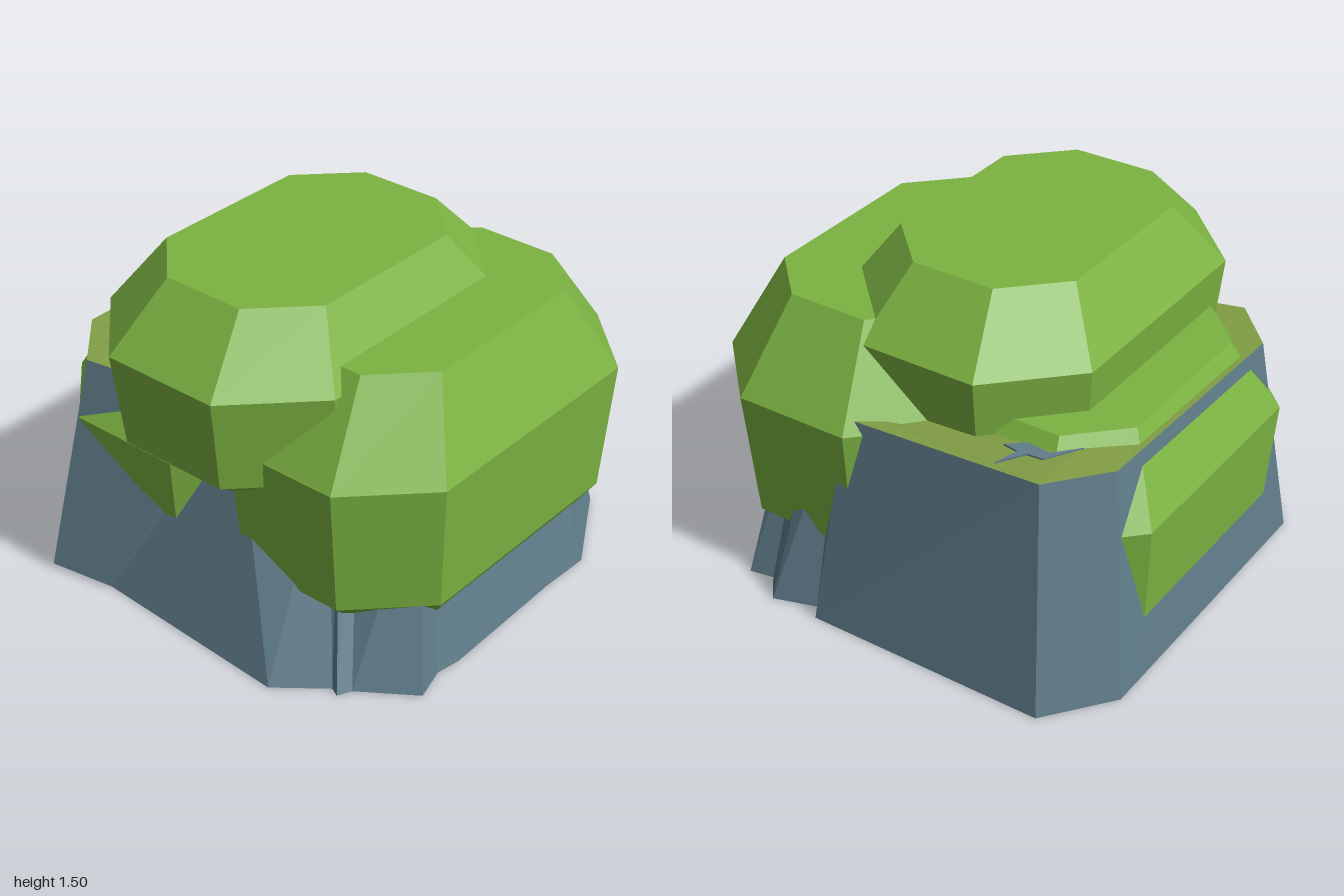
import * as THREE from 'three';

const flat = (name, color, flatShading = true) => {
  const m = new THREE.MeshStandardMaterial({ color, flatShading });
  m.name = name;
  return m;
};

// Solid between two matching outlines; group 0 = sides and underside, group 1 = top
function loft(rings) {
  const n = rings[0].length, pos = [];
  const tri = (a, b, c) => pos.push(...a, ...b, ...c);
  const cap = (ring, up) => {
    const outline = ring.map(([x, , z]) => new THREE.Vector2(x, -z));
    for (const [a, b, c] of THREE.ShapeUtils.triangulateShape(outline, [])) {
      if (up) tri(ring[a], ring[b], ring[c]);
      else tri(ring[a], ring[c], ring[b]);
    }
  };
  cap(rings[0], false);
  for (let r = 0; r + 1 < rings.length; r++) {
    const lo = rings[r], hi = rings[r + 1];
    for (let i = 0; i < n; i++) {
      const j = (i + 1) % n;
      tri(lo[i], lo[j], hi[j]);
      tri(lo[i], hi[j], hi[i]);
    }
  }
  const split = pos.length / 3;
  cap(rings[rings.length - 1], true);
  const g = new THREE.BufferGeometry();
  g.setAttribute('position', new THREE.Float32BufferAttribute(pos, 3));
  g.addGroup(0, split, 0);
  g.addGroup(split, pos.length / 3 - split, 1);
  g.computeVertexNormals();
  return g;
}

// Stretched octagon with its corners cut off, counterclockwise from above
function octagon(cx, y, cz, hx, hz, cut) {
  return [
    [-hx + cut, hz], [hx - cut, hz], [hx, hz - cut], [hx, -hz + cut],
    [hx - cut, -hz], [-hx + cut, -hz], [-hx, -hz + cut], [-hx, hz - cut],
  ].map(([x, z]) => [cx + x, y, cz + z]);
}

// Every bush shares one profile: [height fraction, width fraction]
const bushProfile = [[0, 0.7], [0.18, 0.94], [0.675, 1], [1, 0.7]];
function bushGeometry({ x, z, y0, y1, hx, hz, cut }) {
  return loft(bushProfile.map(([h, s]) =>
    octagon(x, y0 + (y1 - y0) * h, z, hx * s, hz * s, cut * s)));
}

// Rock outline: foot x, foot z, top x, top y, top z
const rockOutline = [
  [-0.75, 1.0, -0.68, 0.96, 0.78],
  [-0.44, 0.95, -0.05, 0.94, 0.65],
  [0.5, 1.0, 0.03, 0.93, 0.63],
  [0.7, 0.84, 0.4, 0.9, 0.5],
  [0.74, 0.86, 0.45, 0.9, 0.5],
  [0.77, 0.8, 0.5, 0.9, 0.45],
  [1.0, 0.64, 0.79, 0.9, 0.4],
  [0.96, 0.49, 0.77, 0.9, 0.31],
  [0.98, 0.38, 0.8, 0.9, 0.26],
  [0.97, -0.26, 0.8, 0.9, -0.3],
  [0.98, -0.5, 0.78, 0.9, -0.45],
  [0.75, -0.91, 0.6, 0.92, -0.7],
  [0.64, -0.89, 0.52, 0.93, -0.71],
  [0.55, -1.0, 0.42, 0.94, -0.76],
  [0.36, -0.94, 0.3, 0.96, -0.78],
  [0.32, -1.0, 0.2, 0.98, -0.88],
  [-0.78, -1.0, -0.69, 1.0, -0.85],
  [-1.0, -0.72, -0.88, 0.99, -0.6],
  [-1.0, 0.68, -0.89, 0.97, 0.55],
];

export function createModel() {
  const model = new THREE.Group();
  const leaf = flat('leaf green', 0x7cb342);
  const stone = flat('blue grey stone', 0x607d8b);
  const moss = flat('olive moss', 0x829f45);
  const bark = flat('brown bark', 0x5d4037);

  const add = (name, geometry, material) => {
    const mesh = new THREE.Mesh(geometry, material);
    mesh.name = name;
    model.add(mesh);
    return mesh;
  };

  // Rock with a mossy top
  add('rock', loft([
    rockOutline.map(([x, z]) => [x, 0, z]),
    rockOutline.map(([, , x, y, z]) => [x, y, z]),
  ]), [stone, moss]);

  // Three overlapping bushes
  const bushes = {
    upperBush: { x: -0.03, z: 0.14, y0: 0.66, y1: 1.5, hx: 0.6, hz: 0.86, cut: 0.33 },
    leftBush: { x: 0.43, z: -0.05, y0: 0.14, y1: 1.31, hx: 0.57, hz: 0.89, cut: 0.31 },
    rightBush: { x: -0.425, z: 0, y0: -0.002, y1: 1.04, hx: 0.575, hz: 0.84, cut: 0.31 },
  };
  for (const [name, spec] of Object.entries(bushes)) {
    add(name, bushGeometry(spec), [leaf, leaf]);
  }

  // Bare stone crack showing through the moss
  const crack = new THREE.Shape([
    [-0.7, 0.55], [-0.61, 0.7], [-0.54, 0.705], [-0.47, 0.82], [-0.5, 0.71],
    [-0.43, 0.7], [-0.5, 0.64], [-0.61, 0.65],
  ].map(([x, y]) => new THREE.Vector2(x, y)));
  const crackMesh = add('mossCrack', new THREE.ExtrudeGeometry(crack, { depth: 0.008, bevelEnabled: false }), stone);
  crackMesh.rotation.x = -Math.PI / 2;
  crackMesh.position.y = 0.99;

  // Trunk buried in the rock, its foot just showing underneath
  const trunk = add('trunk', new THREE.CylinderGeometry(0.08, 0.11, 0.7, 6), bark);
  trunk.position.set(0, 0.347, 0);

  return model;
}
